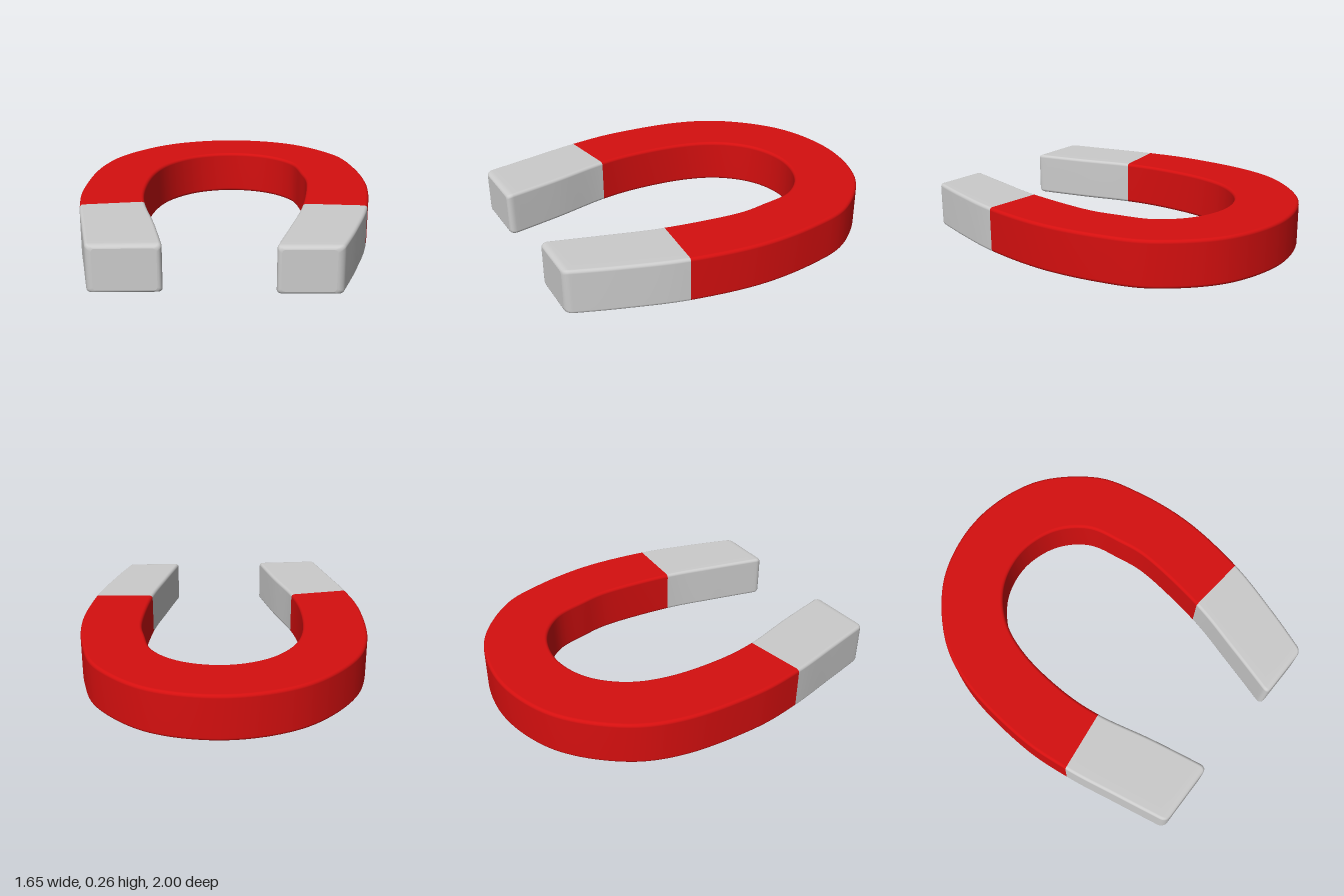
import * as THREE from 'three';

const HEIGHT = 0.256, EDGE = 0.018, TIP = 0.03, TIP_LENGTH = 0.12;

// Paired outer and inner rim points [outerX, outerZ, innerX, innerZ], from one pole round to the other
const RIM = [
  [-0.672, 0.995, -0.296, 0.985], [-0.735, 0.70, -0.365, 0.66], [-0.797, 0.395, -0.445, 0.34],
  [-0.826, 0.08, -0.467, 0.08], [-0.785, -0.34, -0.44, -0.21], [-0.65, -0.645, -0.355, -0.43],
  [-0.36, -0.905, -0.19, -0.588], [0.03, -1, 0.03, -0.645], [0.42, -0.905, 0.25, -0.588],
  [0.69, -0.645, 0.40, -0.44], [0.787, -0.36, 0.45, -0.24], [0.82, 0, 0.47, -0.03],
  [0.77, 0.39, 0.42, 0.365], [0.675, 0.72, 0.335, 0.69], [0.578, 0.995, 0.248, 0.995],
];
const LAST = RIM.length - 1;
const rimCurve = (k) => new THREE.CatmullRomCurve3(
  RIM.map((p) => new THREE.Vector3(p[k], 0, p[k + 1])), false, 'catmullrom', 0.5);
const outer = rimCurve(0), inner = rimCurve(2);

// Rounded rectangle spanning the two rims at knot position k, shrunk by inset
function section(k, inset) {
  const o = outer.getPoint(k / LAST), across = inner.getPoint(k / LAST).sub(o);
  const width = across.length(), points = [];
  across.normalize();
  for (let corner = 0; corner < 4; corner++) {
    const right = corner === 0 || corner === 3, top = corner < 2;
    const cu = right ? width - inset - EDGE : inset + EDGE;
    const cy = top ? HEIGHT - inset * 0.6 - EDGE : inset * 0.6 + EDGE;
    for (let i = 0; i <= 4; i++) {
      const a = (corner + i / 4) * Math.PI / 2;
      const p = o.clone().addScaledVector(across, cu + EDGE * Math.cos(a));
      p.y = cy + EDGE * Math.sin(a);
      points.push(p);
    }
  }
  return points;
}

// Skin a run of the bar between two knots, with softened caps on the pole ends
function barPart(name, from, to, color, capStart, capEnd) {
  const stations = [];
  const a = from + (capStart ? TIP_LENGTH : 0), b = to - (capEnd ? TIP_LENGTH : 0);
  const round = (i) => {
    const t = (i / 5) * Math.PI / 2;
    return [TIP_LENGTH * (1 - Math.cos(t)), TIP * (1 - Math.sin(t))];
  };
  if (capStart) for (let i = 0; i < 5; i++) {
    const [s, d] = round(i);
    stations.push([from + s, d]);
  }
  const steps = Math.ceil((b - a) * 10);
  for (let i = 0; i <= steps; i++) stations.push([a + (b - a) * i / steps, 0]);
  if (capEnd) for (let i = 4; i >= 0; i--) {
    const [s, d] = round(i);
    stations.push([to - s, d]);
  }

  const rings = stations.map(([k, d]) => section(k, d));
  const n = rings[0].length, positions = [], index = [];
  rings.forEach((ring) => ring.forEach((p) => positions.push(p.x, p.y, p.z)));
  for (let i = 0; i < rings.length - 1; i++) for (let j = 0; j < n; j++) {
    const p = i * n + j, q = i * n + (j + 1) % n;
    index.push(p, p + n, q, q, p + n, q + n);
  }

  // Flat pole face
  const cap = (ring, flip) => {
    const start = positions.length / 3;
    ring.forEach((p) => positions.push(p.x, p.y, p.z));
    for (let j = 1; j < n - 1; j++) {
      if (flip) index.push(start, start + j + 1, start + j);
      else index.push(start, start + j, start + j + 1);
    }
  };
  if (capStart) cap(rings[0], false);
  if (capEnd) cap(rings[rings.length - 1], true);

  const geometry = new THREE.BufferGeometry();
  geometry.setAttribute('position', new THREE.Float32BufferAttribute(positions, 3));
  geometry.setIndex(index);
  geometry.computeVertexNormals();
  const mesh = new THREE.Mesh(geometry, new THREE.MeshStandardMaterial({ color }));
  mesh.name = name;
  return mesh;
}

export function createModel() {
  const magnet = new THREE.Group();
  magnet.name = 'horseshoeMagnet';
  magnet.add(
    barPart('rightPole', 0, 2, 0xcccccc, true, false),
    barPart('redBow', 2, 12, 0xd50f0f, false, false),
    barPart('leftPole', 12, LAST, 0xcccccc, false, true),
  );
  return magnet;
}
